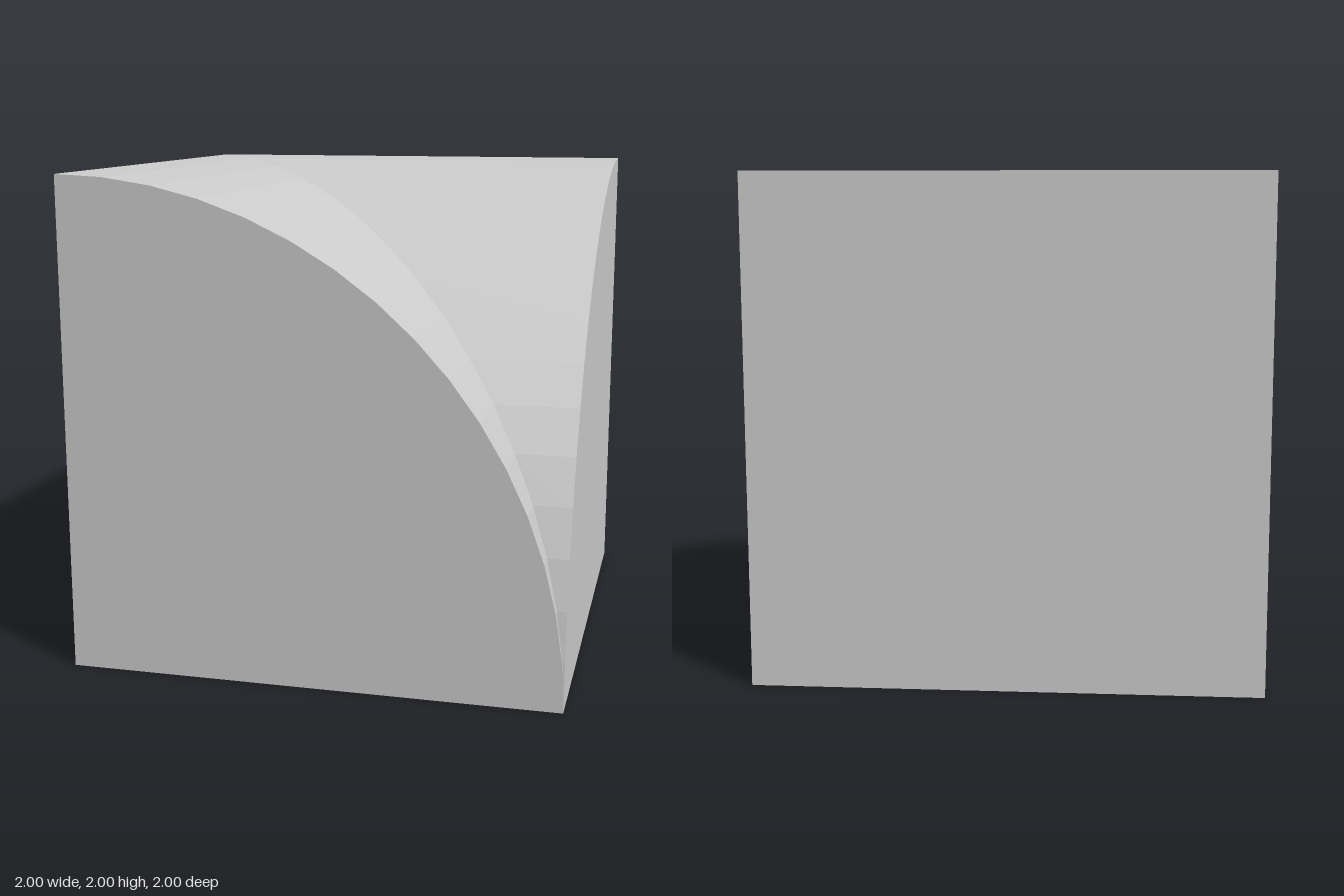
import * as THREE from 'three';

const RADIUS = 2, SEGMENTS = 16;

// Quarter-round profile: from the top of the block down to its foot.
function arcPoint(i) {
  const t = (i / SEGMENTS) * Math.PI / 2;
  return [-1 + RADIUS * Math.sin(t), RADIUS * Math.cos(t)];
}

// One mitred half of the block; swapped exchanges x and z to mirror it over the diagonal.
function buildHalf(swapped) {
  const positions = [];
  const tri = (a, b, c) => {
    const corners = swapped ? [c, b, a] : [a, b, c];
    for (const [x, y, z] of corners) positions.push(...(swapped ? [z, y, x] : [x, y, z]));
  };
  const quad = (a, b, c, d) => { tri(a, b, c); tri(a, c, d); };

  for (let i = 0; i < SEGMENTS; i++) {
    const [x0, y0] = arcPoint(i);
    const [x1, y1] = arcPoint(i + 1);
    // curved top, trimmed along the diagonal valley
    quad([x0, y0, x0], [x0, y0, 1], [x1, y1, 1], [x1, y1, x1]);
    // flat quarter-round end wall
    quad([x0, 0, 1], [x1, 0, 1], [x1, y1, 1], [x0, y0, 1]);
  }
  // square tall wall
  quad([-1, 0, -1], [-1, 0, 1], [-1, 2, 1], [-1, 2, -1]);
  // half of the base
  tri([-1, 0, -1], [1, 0, 1], [-1, 0, 1]);

  const geometry = new THREE.BufferGeometry();
  geometry.setAttribute('position', new THREE.Float32BufferAttribute(positions, 3));
  geometry.computeVertexNormals(); // unshared corners keep the facets flat
  return geometry;
}

export function createModel() {
  const group = new THREE.Group();
  group.name = 'insideCornerBlock';
  const material = new THREE.MeshStandardMaterial({ color: 0xcccccc });
  material.name = 'light grey';

  for (const swapped of [false, true]) {
    const half = new THREE.Mesh(buildHalf(swapped), material);
    half.name = swapped ? 'backQuarterRound' : 'rightQuarterRound';
    group.add(half);
  }
  return group;
}
